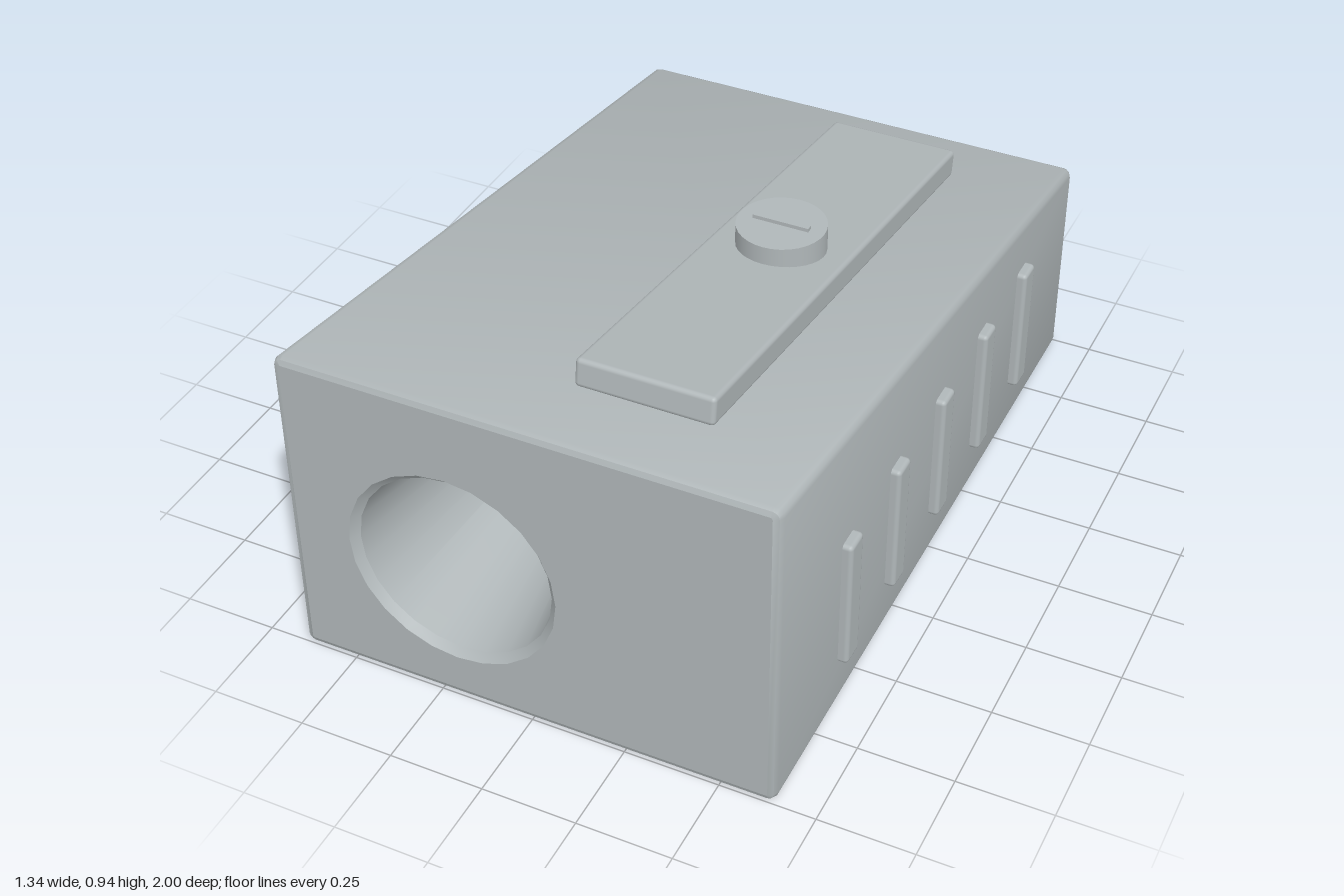
import * as THREE from 'three';
import { toCreasedNormals } from 'three/addons/utils/BufferGeometryUtils.js';
import { RoundedBoxGeometry } from 'three/addons/geometries/RoundedBoxGeometry.js';

const metal = new THREE.MeshStandardMaterial({ color: 0xb0b7b9 });
metal.name = 'greyMetal';

const HALF_W = 0.645;
const HOLE = { x: -0.2, y: 0.405, r: 0.28, sides: 24 };
const topAt = (z) => 0.75 + 0.15 * z; // sloping roof line

function add(parent, name, geometry, x = 0, y = 0, z = 0) {
  const mesh = new THREE.Mesh(geometry, metal);
  mesh.name = name;
  mesh.position.set(x, y, z);
  parent.add(mesh);
  return mesh;
}

// Rounded rectangle cross-section of the wedge, counter-clockwise from +z
function section(z, inset) {
  const r = Math.max(0.024 - inset, 0.006), w = HALF_W - inset;
  const lo = inset, hi = topAt(z) - inset, pts = [];
  const corners = [[w - r, lo + r, -1], [w - r, hi - r, 0], [-w + r, hi - r, 1], [-w + r, lo + r, 2]];
  for (const [cx, cy, q] of corners) {
    for (let k = 0; k <= 3; k++) {
      const a = (q + k / 3) * Math.PI / 2;
      pts.push(new THREE.Vector2(cx + r * Math.cos(a), cy + r * Math.sin(a)));
    }
  }
  return pts;
}

// Skin between the front and back faces, with softened edges
function wedgeSkin() {
  const steps = [[-1, 0.02], [-0.994, 0.006], [-0.98, 0], [0.98, 0], [0.994, 0.006], [1, 0.02]];
  const pos = [], index = [];
  let n = 0;
  steps.forEach(([z, inset]) => {
    const ring = section(z, inset);
    n = ring.length;
    ring.forEach((p) => pos.push(p.x, p.y, z));
  });
  for (let s = 0; s < steps.length - 1; s++) {
    for (let i = 0; i < n; i++) {
      const a = s * n + i, b = s * n + (i + 1) % n;
      index.push(a, b, a + n, b, b + n, a + n);
    }
  }
  const g = new THREE.BufferGeometry();
  g.setAttribute('position', new THREE.Float32BufferAttribute(pos, 3));
  g.setIndex(index);
  return toCreasedNormals(g, 0.7);
}

export function createModel() {
  const model = new THREE.Group();
  model.name = 'pencilSharpener';

  // Wedge body
  const body = new THREE.Group();
  body.name = 'body';
  model.add(body);
  add(body, 'bodySkin', wedgeSkin());

  const front = new THREE.Shape(section(1, 0.02));
  const rim = [];
  for (let i = 0; i < HOLE.sides; i++) {
    const a = -i / HOLE.sides * Math.PI * 2;
    rim.push(new THREE.Vector2(HOLE.x + HOLE.r * Math.cos(a), HOLE.y + HOLE.r * Math.sin(a)));
  }
  front.holes.push(new THREE.Path(rim));
  add(body, 'frontFace', new THREE.ShapeGeometry(front), 0, 0, 1);

  const back = new THREE.ShapeGeometry(new THREE.Shape(section(-1, 0.02)));
  add(body, 'backFace', back.rotateY(Math.PI), 0, 0, -1);

  // Conical pencil hole with a chamfered mouth
  const profile = [[HOLE.r, 0], [0.26, -0.02], [0.018, -1.4], [0, -1.4]];
  const cone = new THREE.LatheGeometry(profile.map(([r, y]) => new THREE.Vector2(r, y)), HOLE.sides);
  cone.rotateX(Math.PI / 2);
  add(body, 'pencilHole', toCreasedNormals(cone, 0.6), HOLE.x, HOLE.y, 1);

  // Blade lying on the slope
  const blade = add(model, 'blade', new RoundedBoxGeometry(0.355, 0.075, 1.545, 2, 0.012), 0.2, 0.795, 0);
  blade.rotation.x = -Math.atan(0.15);

  // Screw and its slot
  add(model, 'screwHead', new THREE.CylinderGeometry(0.115, 0.115, 0.085, 32), 0.2, 0.8575, 0);
  add(model, 'screwSlot', new THREE.BoxGeometry(0.15, 0.018, 0.018), 0.2, 0.901, 0);

  // Grip ribs on both sides
  for (const side of [-1, 1]) {
    for (let i = -2; i <= 2; i++) {
      add(model, side > 0 ? 'leftGripRib' : 'rightGripRib',
        new RoundedBoxGeometry(0.05, 0.375, 0.072, 2, 0.012), side * 0.646, 0.328, i * 0.3);
    }
  }
  return model;
}
